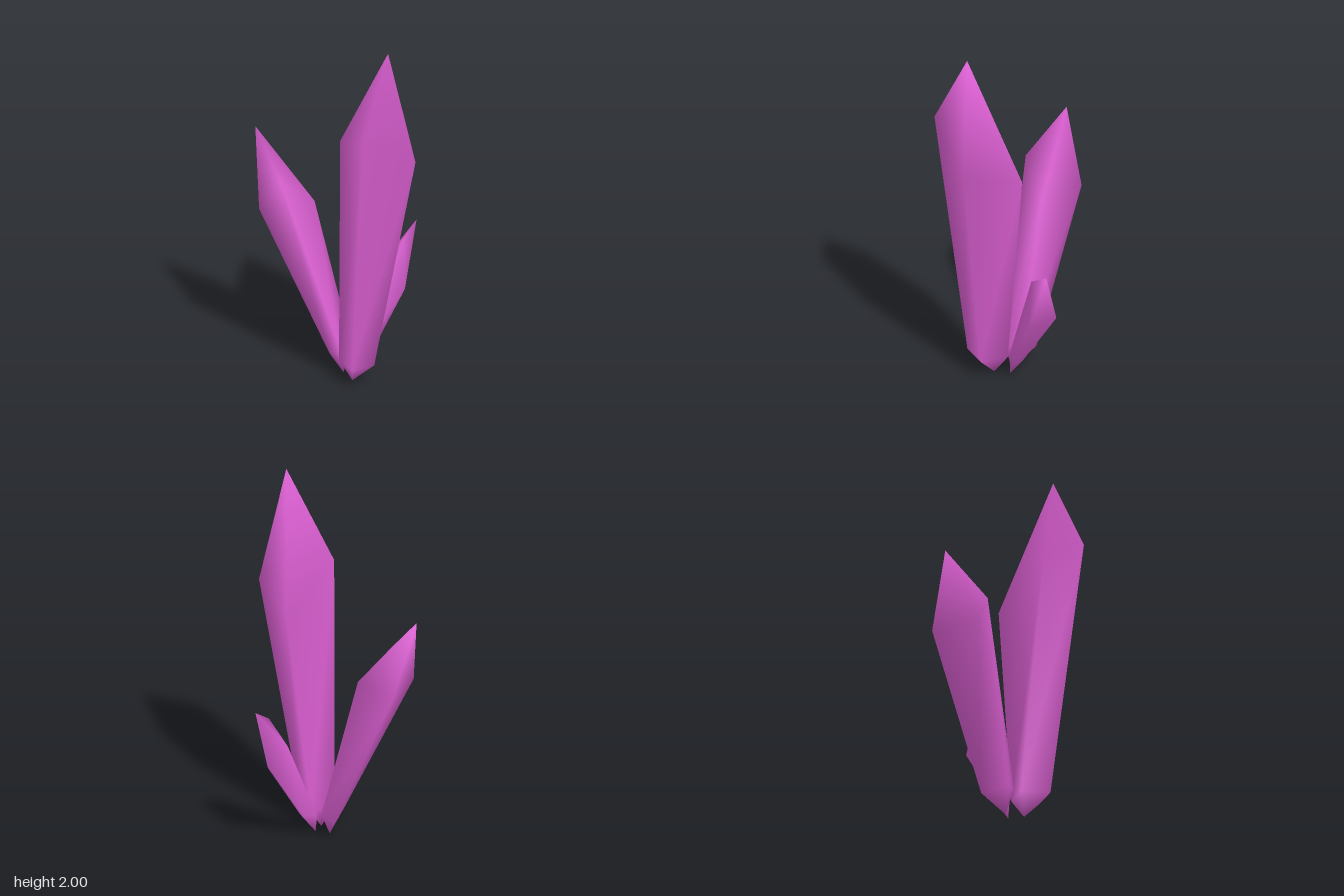
import * as THREE from 'three';

// One four-sided crystal: foot point, lower ring, upper ring, tip.
// Rings run counter-clockwise seen from above; shared vertices give smooth normals.
function crystal(name, material, { foot, lower, upper, tip }) {
  const n = lower.length;
  const points = [...lower, ...upper, foot, tip];
  const footIndex = 2 * n, tipIndex = 2 * n + 1;
  const index = [];
  for (let i = 0; i < n; i++) {
    const j = (i + 1) % n;
    index.push(i, j, n + j, i, n + j, n + i); // long side
    index.push(n + i, n + j, tipIndex);       // upper point
    index.push(j, i, footIndex);              // lower point
  }
  const geometry = new THREE.BufferGeometry();
  geometry.setAttribute('position', new THREE.Float32BufferAttribute(points.flat(), 3));
  geometry.setIndex(index);
  geometry.computeVertexNormals();
  const mesh = new THREE.Mesh(geometry, material);
  mesh.name = name;
  return mesh;
}

export function createModel() {
  const group = new THREE.Group();
  group.name = 'crystalCluster';
  const orchid = new THREE.MeshStandardMaterial({ color: 0xdb5fd2 });
  orchid.name = 'orchid crystal';

  // Tall crystal at the front
  group.add(crystal('tallCrystal', orchid, {
    foot: [-0.04, 0, 0.125],
    lower: [[-0.105, 0.13, 0.25], [0.035, 0.12, 0.23], [0.04, 0.12, 0.08], [-0.1, 0.12, 0.09]],
    upper: [[-0.13, 1.57, 0.425], [0.195, 1.36, 0.39], [0.195, 1.27, 0.06], [-0.15, 1.48, 0.2]],
    tip: [0.07, 2, 0.32],
  }));

  // Middle crystal leaning back
  group.add(crystal('middleCrystal', orchid, {
    foot: [-0.04, 0, 0.025],
    lower: [[-0.07, 0.14, 0.06], [0.02, 0.13, 0], [-0.01, 0.12, -0.1], [-0.12, 0.13, 0.02]],
    upper: [[-0.315, 1.1, -0.16], [-0.11, 0.94, -0.17], [-0.19, 0.93, -0.425], [-0.4, 0.93, -0.24]],
    tip: [-0.34, 1.33, -0.4],
  }));

  // Small crystal leaning sideways
  group.add(crystal('smallCrystal', orchid, {
    foot: [0.025, 0.01, 0.06],
    lower: [[0.05, 0.14, 0.075], [0.11, 0.12, 0.07], [0.115, 0.13, 0.025], [0.035, 0.12, 0.02]],
    upper: [[0.3, 0.72, 0.05], [0.3, 0.43, 0.065], [0.365, 0.51, -0.065], [0.23, 0.58, -0.03]],
    tip: [0.4, 0.79, 0.005],
  }));

  return group;
}
